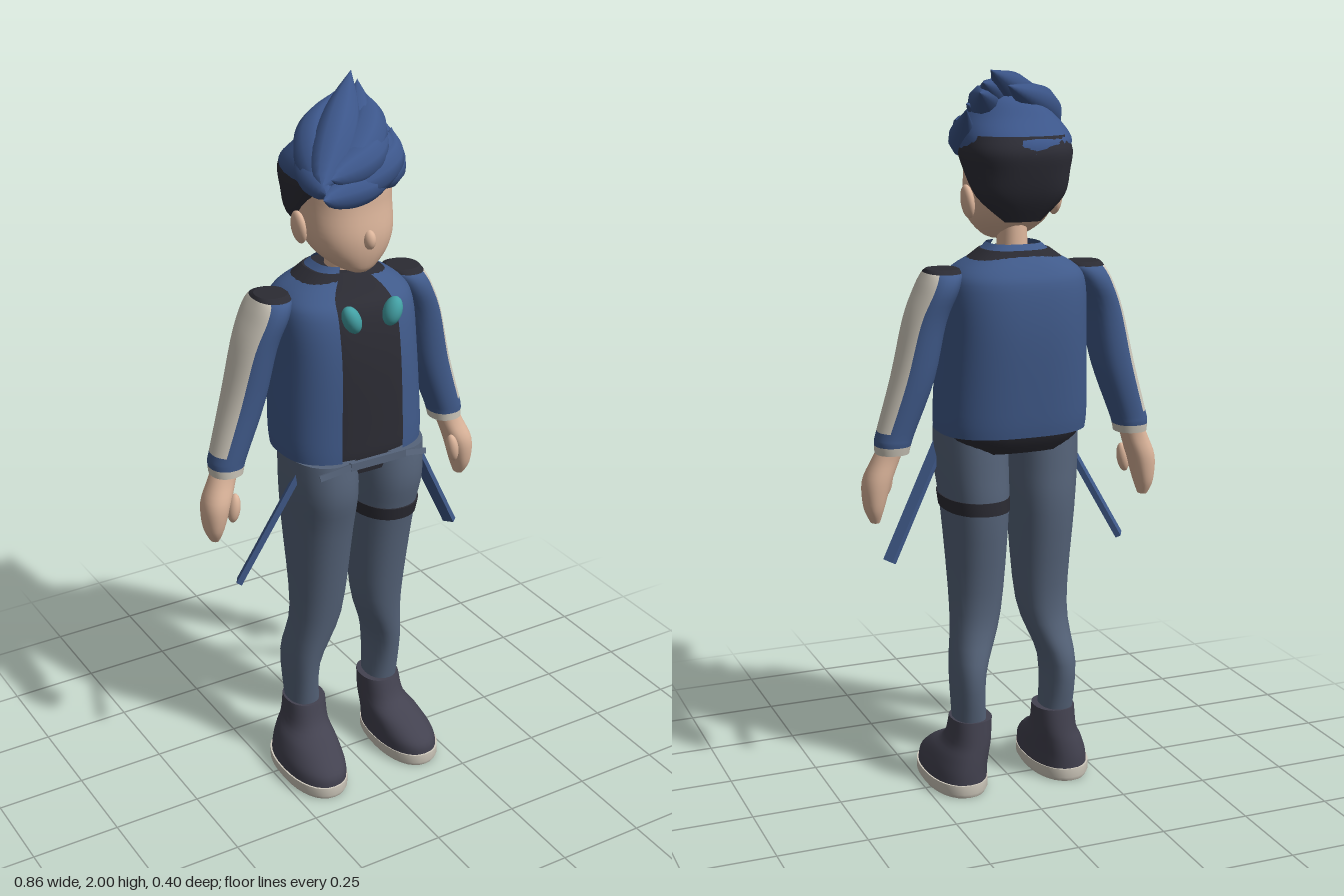
import * as THREE from 'three';

const mat = (name, color, double) => {
  const m = new THREE.MeshStandardMaterial({ color });
  m.name = name;
  if (double) m.side = THREE.DoubleSide;
  return m;
};

// Smoothly subdivide rows of numbers
function refine(rows, steps) {
  const out = [];
  const at = i => rows[Math.min(Math.max(i, 0), rows.length - 1)];
  for (let i = 0; i < rows.length - 1; i++)
    for (let k = 0; k < steps; k++) {
      const t = k / steps;
      out.push(rows[i].map((b, c) => {
        const a = at(i - 1)[c], d = at(i + 1)[c], e = at(i + 2)[c];
        return b + 0.5 * t * (d - a + t * (2 * a - 5 * b + 4 * d - e + t * (3 * (b - d) + e - a)));
      }));
    }
  out.push(rows[rows.length - 1]);
  return out;
}

// Skin horizontal sections [y, centreX, centreZ, radiusX, radiusZ], listed from bottom to top.
// side mirrors in x, gap leaves a front opening, pick(angle, y) chooses a material index.
function loft(rows, { side = 1, seg = 32, power = 0.9, steps = 4, gap = 0, caps = true, pick, topIndex = 0 } = {}) {
  const rings = refine(rows, steps), pos = [], lists = [[], [], []];
  const cols = gap ? seg + 1 : seg;
  const angle = j => gap + (j / seg) * (Math.PI * 2 - 2 * gap);
  const bend = v => Math.sign(v) * Math.abs(v) ** power;
  for (const [y, cx, cz, rx, rz] of rings)
    for (let j = 0; j < cols; j++)
      pos.push(side * cx + rx * bend(Math.sin(angle(j))), y, cz + rz * bend(Math.cos(angle(j))));
  for (let i = 0; i < rings.length - 1; i++)
    for (let j = 0; j < seg; j++) {
      const a = i * cols + j, b = i * cols + (j + 1) % cols;
      const y = (rings[i][0] + rings[i + 1][0]) / 2;
      const list = lists[pick ? pick(side * Math.sin(angle(j + 0.5)), y) : 0];
      list.push(a, b, a + cols, b, b + cols, a + cols);
    }
  if (caps && !gap) [0, rings.length - 1].forEach((i, top) => {
    const start = pos.length / 3, [y, cx, cz] = rings[i];
    for (let j = 0; j < seg; j++) pos.push(...pos.slice((i * cols + j) * 3, (i * cols + j) * 3 + 3));
    pos.push(side * cx, y, cz);
    for (let j = 0; j < seg; j++) {
      const a = start + j, b = start + (j + 1) % seg;
      lists[top ? topIndex : 0].push(...(top ? [a, b, start + seg] : [b, a, start + seg]));
    }
  });
  const g = new THREE.BufferGeometry();
  g.setAttribute('position', new THREE.Float32BufferAttribute(pos, 3));
  g.setIndex(lists.flat());
  let from = 0;
  lists.forEach((l, i) => { if (l.length) g.addGroup(from, l.length, i); from += l.length; });
  if (!pick) g.clearGroups();
  g.computeVertexNormals();
  return g;
}

// A pointed lock of hair swept along a curve
function lock(a, b, c, r) {
  const curve = new THREE.CatmullRomCurve3([a, b, c].map(p => new THREE.Vector3(...p)));
  const n = 20, sides = 10, g = new THREE.TubeGeometry(curve, n, r, sides);
  const p = g.attributes.position, v = new THREE.Vector3();
  for (let i = 0; i < p.count; i++) {
    const t = Math.floor(i / (sides + 1)) / n, centre = curve.getPointAt(t);
    v.fromBufferAttribute(p, i).sub(centre).multiplyScalar(Math.sin(Math.PI * t ** 0.6)).add(centre);
    p.setXYZ(i, v.x, v.y, v.z);
  }
  return g;
}

export function createModel() {
  const root = new THREE.Group();
  root.name = 'character';
  const blue = mat('blue cloth', 0x405a8a, true), hairBlue = mat('blue hair', 0x3c568a);
  const dark = mat('dark shirt', 0x2b2b33), darkHair = mat('dark hair', 0x2d2d36);
  const slate = mat('slate trousers', 0x56647a), skin = mat('skin', 0xdcb59b);
  const cream = mat('cream', 0xd0cabd), boot = mat('boot', 0x434250), teal = mat('teal', 0x43a0a4);

  const add = (name, geometry, material) => {
    const m = new THREE.Mesh(geometry, material);
    m.name = name;
    root.add(m);
    return m;
  };
  const ball = (name, material, p, s, tilt = 0) => {
    const m = add(name, new THREE.SphereGeometry(1, 24, 16), material);
    m.position.set(...p);
    m.scale.set(...s);
    m.rotation.z = tilt;
  };
  const bar = (name, a, b, w, d, material) => {
    const p = new THREE.Vector3(...a), q = new THREE.Vector3(...b), dir = q.clone().sub(p);
    const m = add(name, new THREE.BoxGeometry(w, dir.length(), d), material);
    m.position.copy(p).add(q).multiplyScalar(0.5);
    m.quaternion.setFromUnitVectors(new THREE.Vector3(0, 1, 0), dir.normalize());
  };

  // Open jacket over a shirt
  const jacket = [
    [1.035, 0, -0.01, 0.205, 0.155], [1.1, 0, -0.015, 0.207, 0.16], [1.3, 0, -0.027, 0.197, 0.167],
    [1.43, 0, -0.036, 0.192, 0.153], [1.48, 0, -0.045, 0.168, 0.122],
    [1.52, 0, -0.045, 0.1, 0.085], [1.545, 0, -0.04, 0.07, 0.065]];
  add('jacket', loft(jacket, { gap: 0.36, power: 0.75, seg: 48 }), blue);
  const shirt = jacket.slice(0, 6).map(([y, x, z, rx, rz]) => [y, x, z, rx * 0.93, rz * 0.93]);
  shirt[5][0] = 1.53;
  add('shirt', loft([[0.985, 0, 0, 0.165, 0.125], ...shirt], { power: 0.75 }), dark);
  add('neck', loft([[1.49, 0, -0.035, 0.04, 0.05], [1.6, 0, -0.03, 0.036, 0.05]]), skin);

  // Head
  add('head', loft([
    [1.545, 0, 0.06, 0.025, 0.025], [1.56, 0, 0.035, 0.058, 0.062], [1.6, 0, 0.01, 0.1, 0.1],
    [1.65, 0, -0.005, 0.119, 0.12], [1.72, 0, -0.02, 0.122, 0.128], [1.78, 0, -0.02, 0.12, 0.125],
    [1.84, 0, -0.02, 0.09, 0.1]]), skin);
  ball('nose', skin, [0, 1.642, 0.114], [0.016, 0.026, 0.02]);

  // Cropped hair below, swept locks above
  add('croppedHair', loft([
    [1.605, 0, -0.105, 0.05, 0.015], [1.67, 0, -0.09, 0.118, 0.07], [1.74, 0, -0.063, 0.138, 0.122],
    [1.79, 0, -0.053, 0.145, 0.142], [1.83, 0, -0.053, 0.13, 0.125]], { power: 0.8 }), darkHair);
  add('hairCrown', loft([
    [1.785, 0, -0.035, 0.142, 0.16], [1.82, -0.005, -0.03, 0.148, 0.155], [1.87, 0, -0.01, 0.125, 0.12],
    [1.92, 0.01, -0.02, 0.07, 0.07], [1.935, 0.01, -0.02, 0.02, 0.02]]), hairBlue);
  const locks = [
    [[-0.15, 1.81, 0.13], [-0.05, 1.91, 0.04], [0.115, 2.0, -0.17], 0.058],
    [[-0.11, 1.81, 0.14], [0.03, 1.89, 0.04], [0.155, 1.945, -0.2], 0.062],
    [[-0.09, 1.79, 0.13], [0.07, 1.83, 0.08], [0.165, 1.87, -0.05], 0.052],
    [[-0.14, 1.8, 0.11], [-0.09, 1.89, 0], [0.06, 1.96, -0.15], 0.058],
    [[-0.15, 1.78, 0.14], [-0.02, 1.79, 0.125], [0.13, 1.79, 0.05], 0.042],
    [[-0.14, 1.79, 0.14], [-0.13, 1.83, 0.04], [-0.07, 1.86, -0.09], 0.042],
    [[0.01, 1.8, 0.13], [0.11, 1.81, 0.03], [0.165, 1.9, -0.13], 0.046],
    [[-0.13, 1.83, 0.14], [0, 1.86, 0.1], [0.14, 1.91, -0.06], 0.05],
    [[-0.03, 1.86, 0.08], [0.05, 1.93, -0.03], [0.14, 1.97, -0.18], 0.04]];
  locks.forEach((l, i) => add('hairLock' + (i + 1), lock(...l), hairBlue));

  for (const s of [1, -1]) {
    const side = s > 0 ? 'left' : 'right';
    ball(side + 'Ear', skin, [s * 0.125, 1.655, -0.03], [0.016, 0.045, 0.032], s * -0.12);
    ball(side + 'Pendant', teal, [s * 0.062, 1.44, 0.13], [0.024, 0.04, 0.028], s * -0.35);

    // Sleeve with cream outer stripe, cream cuff edge and dark shoulder patch
    add(side + 'Sleeve', loft([
      [1, 0.35, -0.045, 0.045, 0.048], [1.03, 0.347, -0.047, 0.049, 0.052], [1.06, 0.338, -0.047, 0.051, 0.054],
      [1.2, 0.291, -0.05, 0.057, 0.066], [1.35, 0.255, -0.047, 0.054, 0.078], [1.43, 0.222, -0.048, 0.054, 0.088],
      [1.47, 0.206, -0.047, 0.05, 0.076], [1.485, 0.203, -0.045, 0.044, 0.045]], {
      side: s, topIndex: 2,
      pick: (out, y) => y < 1.025 ? 1 : y < 1.06 ? 0 : y > 1.474 ? 2 : out > 0.5 ? 1 : 0,
    }), [blue, cream, dark]);

    add(side + 'Hand', loft([
      [0.81, 0.397, -0.035, 0.012, 0.018], [0.85, 0.399, -0.033, 0.026, 0.038], [0.92, 0.39, -0.033, 0.038, 0.047],
      [0.98, 0.367, -0.04, 0.037, 0.038], [1.02, 0.35, -0.045, 0.034, 0.036]], { side: s }), skin);
    ball(side + 'Thumb', skin, [s * 0.352, 0.91, 0], [0.017, 0.042, 0.02], s * 0.15);

    // Trousers, boots and soles
    add(side + 'TrouserLeg', loft([
      [0.19, 0.13, -0.035, 0.046, 0.055], [0.35, 0.135, -0.035, 0.046, 0.08], [0.52, 0.1, -0.005, 0.069, 0.08],
      [0.8, 0.098, 0.003, 0.087, 0.123], [0.93, 0.102, 0.018, 0.095, 0.137], [1.035, 0.104, 0.018, 0.095, 0.132]],
    { side: s }), slate);
    add(side + 'Boot', loft([
      [0.035, 0.154, 0.042, 0.084, 0.153], [0.07, 0.151, 0.038, 0.081, 0.15], [0.11, 0.142, 0.012, 0.073, 0.122],
      [0.15, 0.131, -0.022, 0.061, 0.084], [0.215, 0.126, -0.033, 0.058, 0.067]], { side: s }), boot);
    add(side + 'Sole', loft([
      [0, 0.155, 0.042, 0.08, 0.152], [0.012, 0.155, 0.042, 0.087, 0.158], [0.038, 0.155, 0.042, 0.087, 0.158]],
    { side: s, steps: 1 }), cream);

    // Hanging straps and belt ends
    bar(side + 'Strap', [s * 0.165, 1.02, 0.055], [s * 0.345, 0.68, 0.005], 0.016, 0.034, blue);
    bar(side + 'BeltEnd', [s * 0.08, 1.035, 0.163], [s * 0.165, 1.01, 0.14], 0.016, 0.01, slate);
  }
  bar('belt', [-0.085, 1.035, 0.163], [0.085, 1.035, 0.163], 0.022, 0.012, slate);

  // Band around the left thigh
  add('thighBand', loft([
    [0.815, 0.098, 0.005, 0.091, 0.13], [0.852, 0.1, 0.009, 0.093, 0.134]], { steps: 1 }), dark);

  return root;
}
